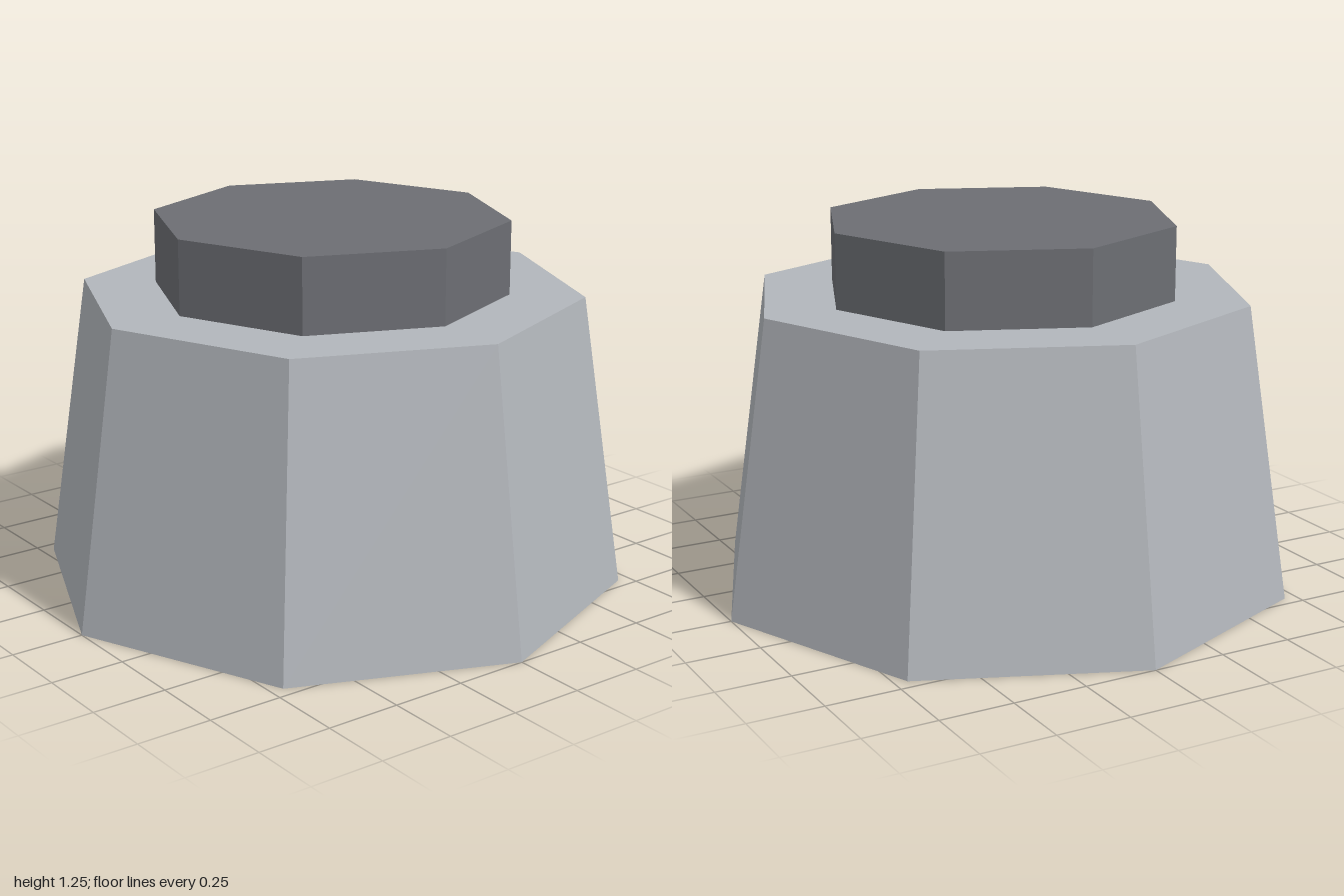
import * as THREE from 'three';

export function createModel() {
  const group = new THREE.Group();
  const lightGrey = new THREE.MeshStandardMaterial({ color: 0xb2b6bb, flatShading: true });
  lightGrey.name = 'lightGrey';
  const darkGrey = new THREE.MeshStandardMaterial({ color: 0x6c6e73, flatShading: true });
  darkGrey.name = 'darkGrey';

  // Octagonal section standing on the given height, corners on the axes
  function addSection(name, topRadius, bottomRadius, baseY, height, material) {
    const geometry = new THREE.CylinderGeometry(topRadius, bottomRadius, height, 8);
    const mesh = new THREE.Mesh(geometry, material);
    mesh.name = name;
    mesh.position.y = baseY + height / 2;
    group.add(mesh);
  }

  // Tapered body and the straight cap on top
  addSection('body', 0.85, 1, 0, 1, lightGrey);
  addSection('cap', 0.6, 0.6, 1, 0.25, darkGrey);

  return group;
}
